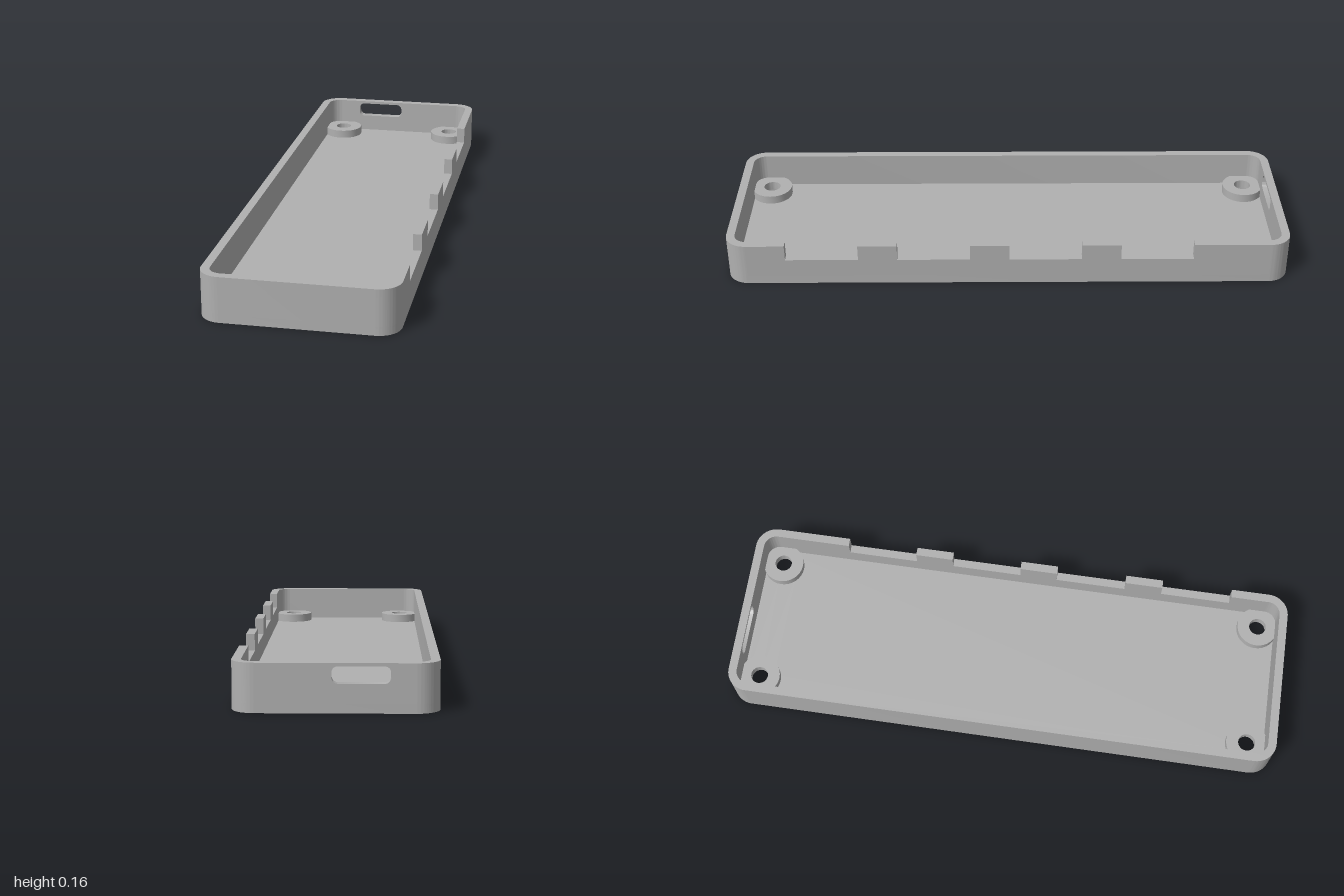
import * as THREE from 'three';
import { toCreasedNormals } from 'three/addons/utils/BufferGeometryUtils.js';

const W = 0.323, L = 1, H = 0.156;   // half width, half length, height
const WALL = 0.03, FLOOR = 0.03, R = 0.075;
const CX = W - R, CZ = L - R;        // corner arc centres
const HOLE_X = 0.228, HOLE_Z = 0.905;

const shell = new THREE.MeshStandardMaterial({ color: 0xb0b0b0 });
shell.name = 'grey plastic';

function extrude(shape, depth) {
  return toCreasedNormals(
    new THREE.ExtrudeGeometry(shape, { depth, bevelEnabled: false, curveSegments: 16 }), 0.5);
}

// Plan outlines use (x, -z) and rise along y
function extrudeUp(shape, y0, y1) {
  return extrude(shape, y1 - y0).rotateX(-Math.PI / 2).translate(0, y0, 0);
}

function circleHole(x, y, r) {
  return new THREE.Path().absarc(x, y, r, 0, Math.PI * 2, true);
}

function roundedRect(Type, x0, y0, x1, y1, r) {
  const s = new Type();
  s.absarc(x1 - r, y1 - r, r, 0, Math.PI / 2, false);
  s.absarc(x0 + r, y1 - r, r, Math.PI / 2, Math.PI, false);
  s.absarc(x0 + r, y0 + r, r, Math.PI, Math.PI * 1.5, false);
  s.absarc(x1 - r, y0 + r, r, Math.PI * 1.5, Math.PI * 2, false);
  s.closePath();
  return s;
}

// Wall strip following a run of corners, each [centre x, centre y, start angle]
function wallStrip(corners) {
  const q = Math.PI / 2, s = new THREE.Shape();
  for (const [x, y, a] of corners) s.absarc(x, y, R, a, a + q, false);
  for (const [x, y, a] of [...corners].reverse()) s.absarc(x, y, R - WALL, a + q, a, true);
  s.closePath();
  return s;
}

export function createModel() {
  const group = new THREE.Group();
  group.name = 'caseTray';
  const add = (name, geometry) => {
    const mesh = new THREE.Mesh(geometry, shell);
    mesh.name = name;
    group.add(mesh);
  };

  const posts = [];
  for (const x of [-HOLE_X, HOLE_X]) for (const y of [-HOLE_Z, HOLE_Z]) posts.push([x, y]);

  // Floor with wide screw recesses
  const floor = roundedRect(THREE.Shape, -W, -L, W, L, R);
  for (const [x, y] of posts) floor.holes.push(circleHole(x, y, 0.052));
  add('floor', extrudeUp(floor, 0, FLOOR));

  // Raised screw bosses with narrow holes
  for (const [x, y] of posts) {
    const ring = new THREE.Shape().absarc(x, y, 0.075, 0, Math.PI * 2, false);
    ring.holes.push(circleHole(x, y, 0.031));
    add('screwBoss', extrudeUp(ring, FLOOR, 0.061));
  }

  // Plain walls: back corner, then back corner, side, front and front corner
  const P = Math.PI;
  add('backCorner', extrudeUp(wallStrip([[CX, CZ, 0]]), FLOOR, H));
  add('sideAndFrontWall', extrudeUp(wallStrip([
    [-CX, CZ, P / 2], [-CX, -CZ, P], [CX, -CZ, P * 1.5]]), FLOOR, H));

  // Back wall with a connector slot
  const back = new THREE.Shape();
  back.moveTo(-CX, FLOOR).lineTo(CX, FLOOR).lineTo(CX, H).lineTo(-CX, H).closePath();
  back.holes.push(roundedRect(THREE.Path, -0.17, 0.092, 0.012, 0.146, 0.02));
  add('backWall', extrude(back, WALL).translate(0, 0, -L));

  // Side wall with four notches in the rim, drawn in (-z, y)
  const side = new THREE.Shape();
  side.moveTo(-CZ, FLOOR).lineTo(CZ, FLOOR).lineTo(CZ, H);
  for (const z of [-0.655, -0.26, 0.135, 0.53]) {
    side.lineTo(-z, H).lineTo(-z, 0.098).lineTo(-z - 0.257, 0.098).lineTo(-z - 0.257, H);
  }
  side.lineTo(-CZ, H).closePath();
  add('notchedSideWall', extrude(side, WALL).rotateY(Math.PI / 2).translate(W - WALL, 0, 0));

  return group;
}
